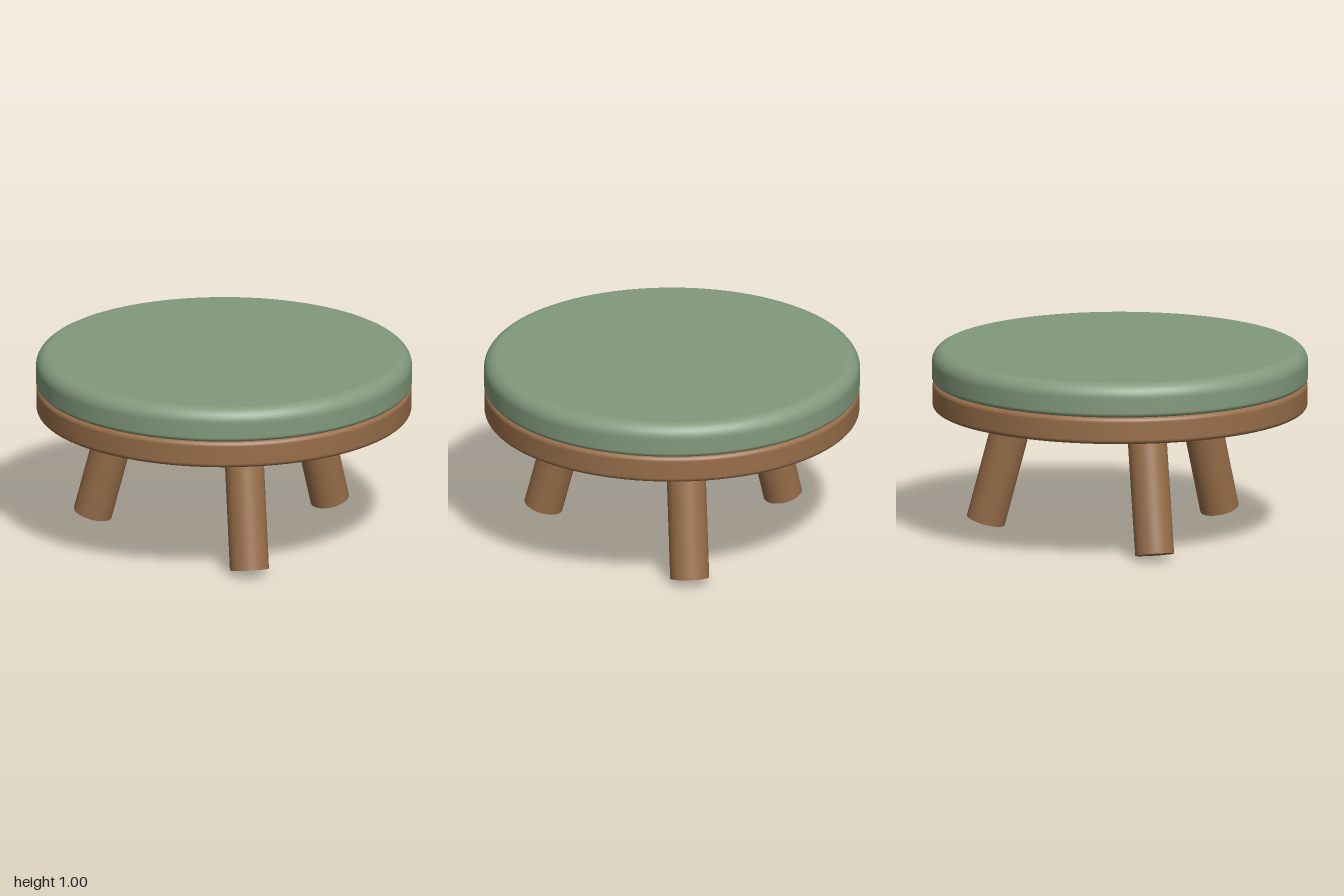
import * as THREE from 'three';

const green = new THREE.MeshStandardMaterial({ color: 0x829a7c });
green.name = 'sage green';
const wood = new THREE.MeshStandardMaterial({ color: 0x986e49 });
wood.name = 'brown wood';

// Round disc with softened lower and upper rims
function disc(name, radius, y0, y1, lowRim, topRim, material) {
  const points = [new THREE.Vector2(0, y0)];
  const arc = (r, cy, from) => {
    for (let i = 0; i <= 8; i++) {
      const a = from + (i / 8) * (Math.PI / 2);
      points.push(new THREE.Vector2(radius - r + r * Math.cos(a), cy + r * Math.sin(a)));
    }
  };
  arc(lowRim, y0 + lowRim, -Math.PI / 2);
  arc(topRim, y1 - topRim, 0);
  points.push(new THREE.Vector2(0, y1));
  const mesh = new THREE.Mesh(new THREE.LatheGeometry(points, 96), material);
  mesh.name = name;
  return mesh;
}

export function createModel() {
  const stool = new THREE.Group();
  stool.name = 'stool';

  // Seat board and cushion
  stool.add(disc('seatBoard', 0.997, 0.68, 0.825, 0.025, 0.025, wood));
  stool.add(disc('cushion', 1, 0.825, 1.005, 0.025, 0.075, green));

  // Three legs, splayed outwards, cut square to their own axis
  const tilt = THREE.MathUtils.degToRad(15);
  const radius = 0.104;
  const length = 0.74;
  const legGeometry = new THREE.CylinderGeometry(radius, radius, length, 40);
  legGeometry.translate(0, length / 2, 0);
  for (let i = 0; i < 3; i++) {
    const leg = new THREE.Group();
    leg.name = 'leg' + (i + 1);
    leg.rotation.y = (i * Math.PI * 2) / 3;
    const post = new THREE.Mesh(legGeometry, wood);
    post.name = 'legPost';
    post.position.set(0.74, radius * Math.sin(tilt), 0);
    post.rotation.z = tilt;
    leg.add(post);
    stool.add(leg);
  }
  return stool;
}
